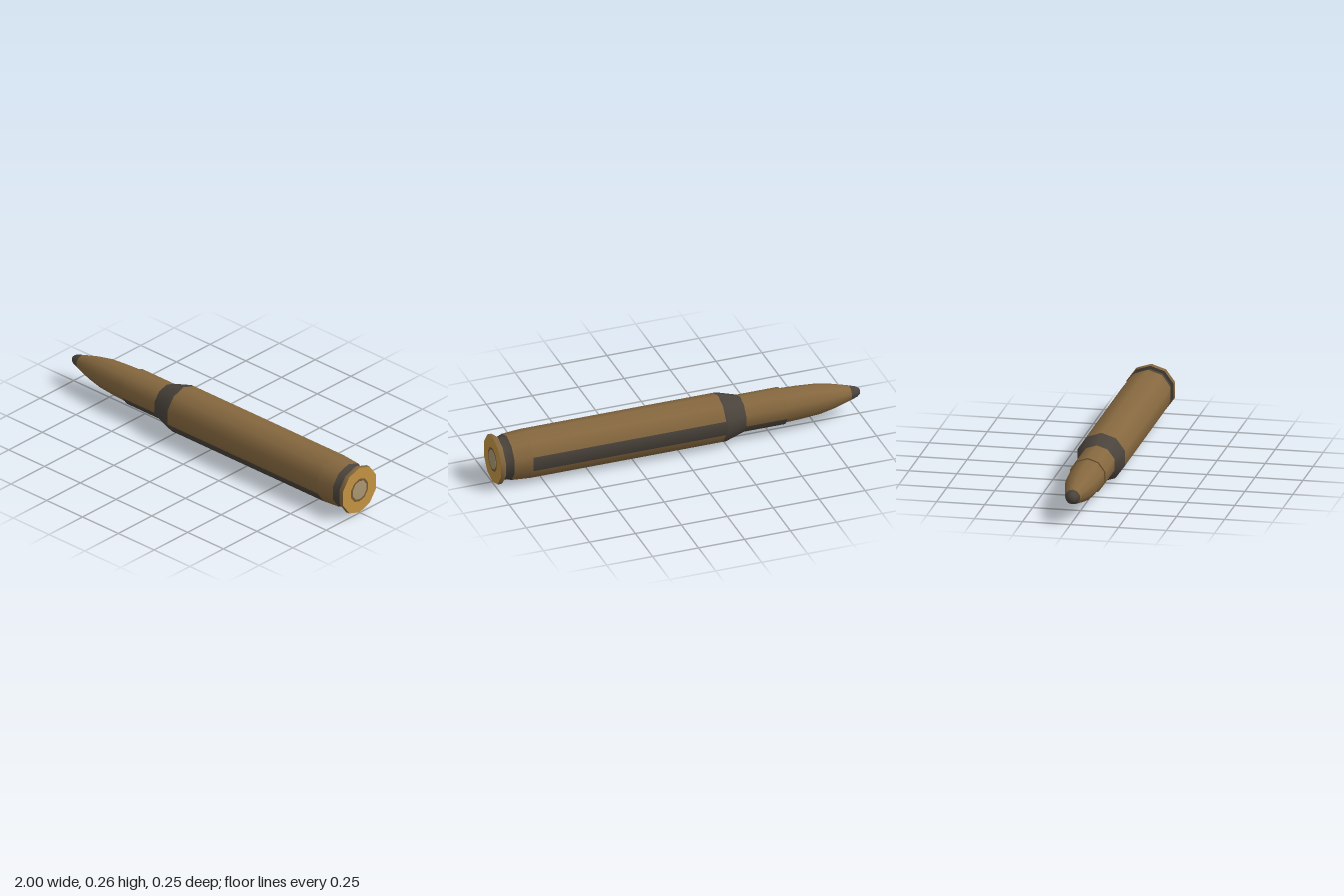
import * as THREE from 'three';

const SIDES = 10, STEP = Math.PI * 2 / SIDES, AXIS_Y = 0.133;

function material(name, color) {
  const m = new THREE.MeshStandardMaterial({ color });
  m.name = name;
  return m;
}

export function createModel() {
  const model = new THREE.Group();
  model.name = 'rifleCartridge';

  const brass = material('aged brass', 0x86683f);
  const gold = material('bright brass', 0xc49442);
  const dark = material('dark tarnish', 0x4b443c);
  const primerMetal = material('primer metal', 0xab9872);
  const seam = material('primer seam', 0x775a37);

  // Ten-sided turned section; points are [x, radius], facets count from the bottom towards the back.
  function turned(name, mat, points, firstFacet = 0, facets = SIDES) {
    const profile = points.map(([x, r]) => new THREE.Vector2(r, x));
    const geo = new THREE.LatheGeometry(profile, facets, Math.PI / 2 + firstFacet * STEP, facets * STEP);
    geo.rotateZ(-Math.PI / 2);
    const mesh = new THREE.Mesh(geo, mat);
    mesh.name = name;
    mesh.position.y = AXIS_Y;
    model.add(mesh);
  }

  // Bullet
  turned('bulletTip', dark, [[-1, 0], [-0.998, 0.016], [-0.985, 0.026], [-0.945, 0.039]]);
  turned('bullet', brass, [[-0.945, 0.039], [-0.86, 0.062], [-0.77, 0.079], [-0.67, 0.086], [-0.57, 0.09]]);

  // Case neck with tarnished lower facets on both sides
  turned('neckMouth', brass, [[-0.575, 0.085], [-0.575, 0.097]]);
  const neck = [[-0.575, 0.097], [-0.35, 0.097]];
  turned('neckUpper', brass, neck, 2, 6);
  turned('neckUnderside', brass, neck, 9, 2);
  turned('neckTarnishFront', dark, neck, 8, 1);
  turned('neckTarnishBack', dark, neck, 1, 1);

  // Shoulder
  turned('shoulder', dark, [[-0.35, 0.097], [-0.245, 0.128], [-0.23, 0.128]]);

  // Case body with a tarnished strip along each side
  const body = [[-0.23, 0.128], [0.82, 0.128]];
  turned('bodyUpper', brass, body, 3, 5);
  turned('bodyUnderside', brass, body, 9, 3);
  turned('bodyTarnishFront', dark, body, 8, 1);
  turned('bodyTarnishBack', dark, body, 2, 1);
  turned('bodyRear', brass, [[0.82, 0.128], [0.92, 0.121]]);

  // Extraction groove and rim
  turned('extractionGroove', dark, [[0.92, 0.121], [0.945, 0.112], [0.968, 0.112]]);
  turned('rimFront', dark, [[0.968, 0.11], [0.97, 0.127]]);
  turned('rim', brass, [[0.97, 0.127], [0.976, 0.131], [0.994, 0.131], [0.998, 0.13]]);

  // Case head and primer
  turned('caseHead', gold, [[0.998, 0.13], [0.998, 0.066]]);
  turned('primerSeam', seam, [[0.998, 0.066], [0.998, 0.053]]);
  turned('primer', primerMetal, [[0.998, 0.053], [1, 0.052], [1, 0]]);

  return model;
}
